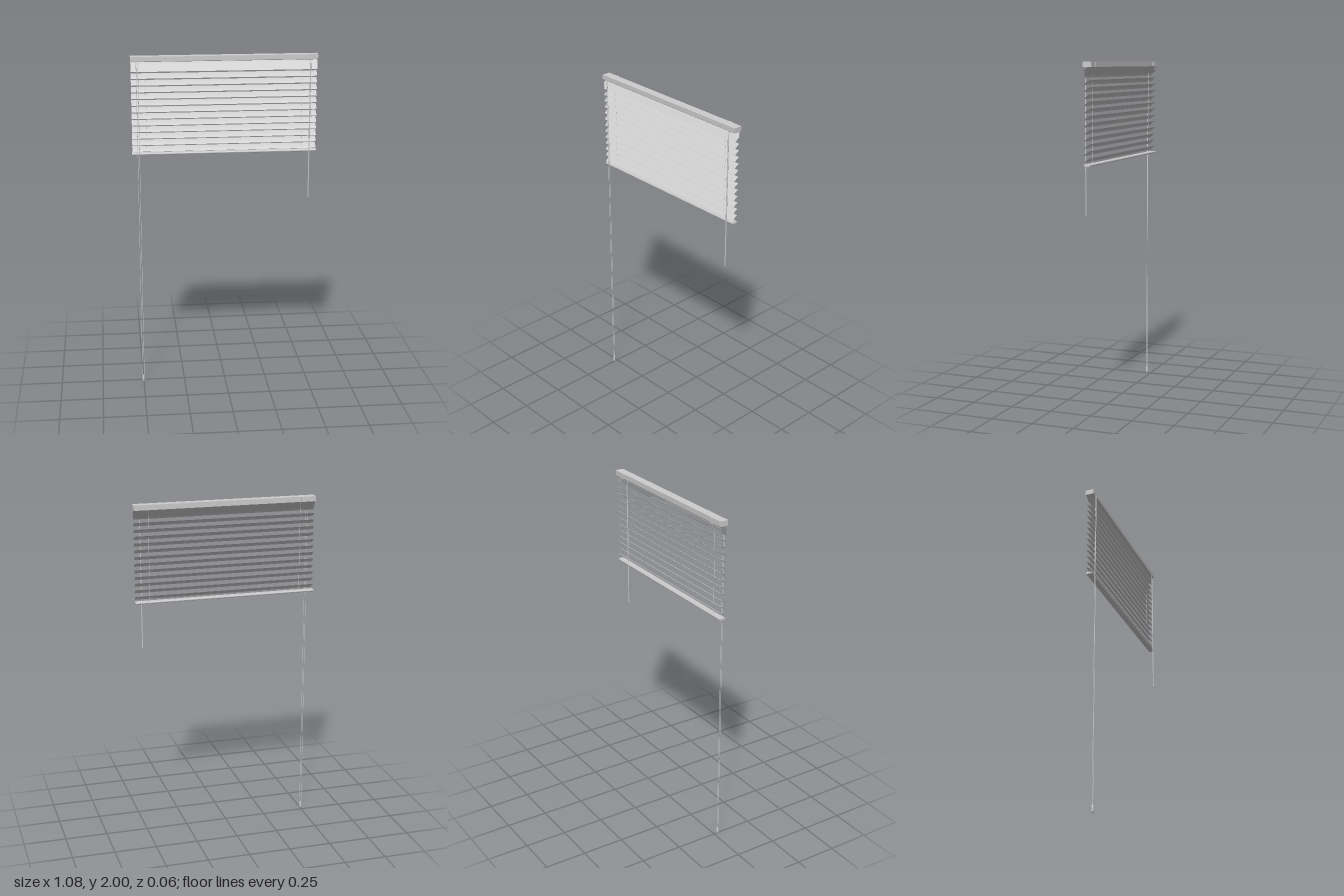
import * as THREE from 'three';

const grey = new THREE.MeshStandardMaterial({ color: 0xcccccc });
const thin = new THREE.MeshStandardMaterial({ color: 0xcccccc, side: THREE.DoubleSide });

export function createModel() {
  const model = new THREE.Group();

  const add = (name, geometry, x, y, z, material = grey) => {
    const mesh = new THREE.Mesh(geometry, material);
    mesh.name = name;
    mesh.position.set(x, y, z);
    model.add(mesh);
    return mesh;
  };
  // Upright round rod between two heights
  const rod = (name, radius, x, z, y0, y1) =>
    add(name, new THREE.CylinderGeometry(radius, radius, y1 - y0, 8), x, (y0 + y1) / 2, z);
  // Extrude a (z, y) profile along x, centred on x = 0
  const alongX = (shape, length) => {
    const g = new THREE.ExtrudeGeometry(shape, { depth: length, bevelEnabled: false, curveSegments: 6 });
    g.translate(0, 0, -length / 2);
    g.rotateY(-Math.PI / 2);
    return g;
  };

  // Head rail with a slightly eased lower front edge
  const rail = new THREE.Shape();
  rail.moveTo(-0.027, 1.97);
  rail.lineTo(0.018, 1.97);
  rail.quadraticCurveTo(0.023, 1.97, 0.023, 1.975);
  rail.lineTo(0.023, 2);
  rail.lineTo(-0.027, 2);
  rail.closePath();
  add('headRail', alongX(rail, 1.08), 0, 0, 0);

  // Wall brackets
  for (const s of [-1, 1]) {
    add('wallBracket', new THREE.BoxGeometry(0.025, 0.03, 0.005), s * 0.463, 1.985, -0.0285);
  }

  // Thin crowned slat, low at the front
  const slatGeometry = new THREE.PlaneGeometry(1.076, 0.044, 1, 6);
  slatGeometry.rotateX(-Math.PI / 2);
  const p = slatGeometry.attributes.position;
  for (let i = 0; i < p.count; i++) {
    const t = p.getZ(i) / 0.022;
    p.setY(i, 0.003 * (1 - t * t) - 0.0015);
  }
  slatGeometry.rotateX(THREE.MathUtils.degToRad(36));
  slatGeometry.computeVertexNormals();

  // Gathered slats under the head rail, then the evenly hung ones
  for (let i = 0; i < 5; i++) add('gatheredSlat', slatGeometry, 0, 1.963 - i * 0.009, 0, thin);
  for (let i = 0; i < 12; i++) add('slat', slatGeometry, 0, 1.888 - i * 0.0388, 0, thin);

  // Bottom rail, rounded front and back
  const base = new THREE.Shape();
  base.moveTo(-0.016, 1.427);
  base.lineTo(0.016, 1.427);
  base.quadraticCurveTo(0.021, 1.4325, 0.016, 1.438);
  base.lineTo(-0.016, 1.438);
  base.quadraticCurveTo(-0.021, 1.4325, -0.016, 1.427);
  add('bottomRail', alongX(base, 1.08), 0, 0, 0);

  // Lift cords through the slats
  for (const s of [-1, 1]) rod('liftCord', 0.0012, s * 0.453, 0, 1.435, 1.972);

  // Tilt wand with its hook
  rod('tiltWand', 0.0035, 0.497, 0.024, 1.15, 1.95);
  rod('wandHook', 0.002, 0.497, 0.022, 1.95, 1.975);

  // Pair of pull cords joined in a tassel
  for (const s of [-1, 1]) rod('pullCord', 0.0015, -0.502 + s * 0.005, 0.024, 0.04, 1.975);
  const tassel = [[0, 0], [0.005, 0], [0.007, 0.008], [0.0065, 0.025], [0.005, 0.04], [0, 0.045]]
    .map(([r, y]) => new THREE.Vector2(r, y));
  add('tassel', new THREE.LatheGeometry(tassel, 12), -0.502, 0, 0.024);

  return model;
}
